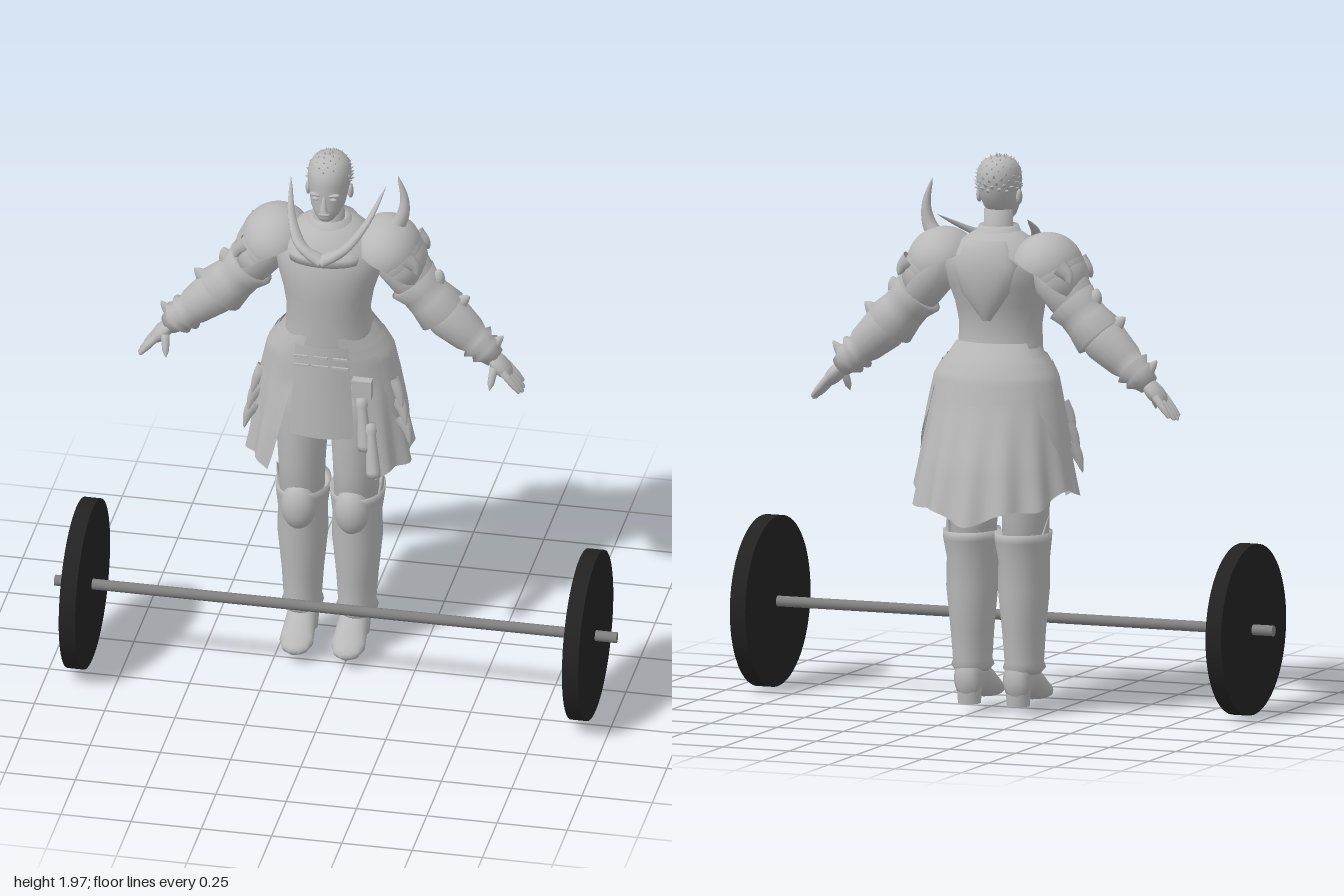
import * as THREE from 'three';

const body = new THREE.MeshStandardMaterial({ color: 0xb8b8b8, side: THREE.DoubleSide });
body.name = 'pale steel';
const rubber = new THREE.MeshStandardMaterial({ color: 0x222222 });
rubber.name = 'black rubber';
const iron = new THREE.MeshStandardMaterial({ color: 0x808080 });
iron.name = 'bar iron';

const V = (p) => new THREE.Vector3(...p);

function mesh(parent, name, geometry, material = body) {
  const m = new THREE.Mesh(geometry, material);
  m.name = name;
  parent.add(m);
  return m;
}

// Surface from a rule fn(u, v) -> [x, y, z]; wrap closes it in u
function grid(nu, nv, fn, wrap = false) {
  const pos = [], idx = [], w = wrap ? nu : nu + 1;
  for (let j = 0; j <= nv; j++) for (let i = 0; i < w; i++) pos.push(...fn(i / nu, j / nv));
  for (let j = 0; j < nv; j++) for (let i = 0; i < nu; i++) {
    const a = j * w + i, b = j * w + (i + 1) % w;
    idx.push(a, b, b + w, a, b + w, a + w);
  }
  const g = new THREE.BufferGeometry();
  g.setAttribute('position', new THREE.Float32BufferAttribute(pos, 3));
  g.setIndex(idx);
  g.computeVertexNormals();
  return g;
}

// Stacked elliptical rings [y, half width, front z, back z], capped at both ends
function loft(rows, cx = 0, sides = 28) {
  const cap = ([y, , f, b]) => [y, 0.0005, (f + b) / 2 + 0.0005, (f + b) / 2 - 0.0005];
  const all = [cap(rows[0]), ...rows, cap(rows[rows.length - 1])];
  return grid(sides, all.length - 1, (u, v) => {
    const [y, rx, f, b] = all[Math.round(v * (all.length - 1))], a = u * Math.PI * 2;
    return [cx + rx * Math.sin(a), y, (f + b) / 2 + (f - b) / 2 * Math.cos(a)];
  }, true);
}

// Turned limb from a to b, profile of [t, radius]
function limb(parent, name, a, b, profile, flat = 1) {
  const d = V(b).sub(V(a)), len = d.length();
  const m = mesh(parent, name, new THREE.LatheGeometry(profile.map(([t, r]) => new THREE.Vector2(r, t * len)), 18));
  m.position.copy(V(a));
  m.quaternion.setFromUnitVectors(new THREE.Vector3(0, 1, 0), d.normalize());
  m.scale.x = flat;
  return m;
}

// Curved spike that tapers along a path
function horn(parent, name, points, r, flat = 1) {
  const c = new THREE.CatmullRomCurve3(points.map(V)), n = 12, fr = c.computeFrenetFrames(n);
  return mesh(parent, name, grid(10, n, (u, v) => {
    const k = Math.round(v * n), a = -u * Math.PI * 2, s = r * Math.pow(1 - v, 0.7) + 0.0005;
    return c.getPoint(v).addScaledVector(fr.normals[k], s * Math.cos(a))
      .addScaledVector(fr.binormals[k], s * flat * Math.sin(a)).toArray();
  }, true));
}

function ball(parent, name, p, s) {
  const m = mesh(parent, name, new THREE.SphereGeometry(1, 20, 14));
  m.position.set(...p);
  m.scale.set(...s);
  return m;
}

// Skirt silhouette [y, half width, front z, back z], read between rows by height
const SKIRT = [[1.3, 0.152, 0.02, -0.25], [1.25, 0.185, 0.02, -0.285], [1.2, 0.213, 0.02, -0.31],
  [1.1, 0.235, 0.02, -0.335], [0.9, 0.27, 0.06, -0.4], [0.68, 0.31, 0.09, -0.45]];
function skirtPoint(a, y, off = 0, pleat = 0) {
  let k = 0;
  while (k < SKIRT.length - 2 && y < SKIRT[k + 1][0]) k++;
  const A = SKIRT[k], B = SKIRT[k + 1], t = (A[0] - y) / (A[0] - B[0]);
  const [rx, f, b] = [1, 2, 3].map((i) => A[i] + (B[i] - A[i]) * t);
  const s = 1 + pleat * Math.max(0, 1.15 - y) * Math.cos(a * 14);
  const z = -0.15, c = Math.cos(a);
  return [(rx + off) * s * Math.sin(a), y, z + (c > 0 ? f - z + off : z - b + off) * s * c];
}
const patch = (a0, a1, top, hem, off, pleat = 0) => grid(60, 16, (u, v) => {
  const a = a0 + (a1 - a0) * u, lo = hem(a, u);
  return skirtPoint(a, lo + (top - lo) * v, off, pleat);
});

function buildSide(g) {
  // Leg, boot and foot
  mesh(g, 'thigh', loft([[0.55, 0.075, -0.04, -0.21], [0.75, 0.082, -0.02, -0.22],
    [0.95, 0.095, -0.01, -0.25], [1.15, 0.09, -0.02, -0.25]], 0.097));
  mesh(g, 'boot', loft([[0.15, 0.055, -0.06, -0.205], [0.17, 0.073, -0.04, -0.222], [0.19, 0.066, -0.05, -0.215],
    [0.3, 0.073, -0.04, -0.23], [0.45, 0.088, -0.03, -0.243], [0.55, 0.086, -0.025, -0.243],
    [0.62, 0.095, -0.018, -0.265], [0.65, 0.097, -0.015, -0.265], [0.63, 0.085, -0.03, -0.25]], 0.097));
  ball(g, 'kneePlate', [0.095, 0.59, -0.05], [0.062, 0.09, 0.055]);
  horn(g, 'bootTopPoint', [[0.17, 0.6, -0.14], [0.183, 0.66, -0.14], [0.19, 0.71, -0.13]], 0.035, 0.3);
  mesh(g, 'foot', loft([[-0.22, 0.03, -0.08, -0.17], [-0.2, 0.048, -0.06, -0.2], [-0.12, 0.052, -0.065, -0.2],
    [-0.05, 0.056, -0.045, -0.155], [0, 0.06, -0.04, -0.11], [0.035, 0.045, -0.04, -0.085],
    [0.05, 0.02, -0.045, -0.07]], 0.092).rotateX(Math.PI / 2));
  mesh(g, 'heel', new THREE.CylinderGeometry(0.045, 0.04, 0.07, 16)).position.set(0.092, 0.075, -0.175);

  // Arm with flared plates
  const z = -0.165;
  limb(g, 'upperArm', [0.19, 1.62, z], [0.35, 1.4, z], [[0, 0], [0, 0.06], [0.3, 0.092], [0.6, 0.085], [1, 0.065], [1, 0]]);
  limb(g, 'elbowGuard', [0.285, 1.475, z], [0.4, 1.35, z],
    [[0, 0.075], [0.02, 0.095], [0.3, 0.08], [0.55, 0.082], [0.95, 0.094], [1, 0.07]]);
  limb(g, 'forearm', [0.35, 1.4, z], [0.58, 1.195, z], [[0, 0], [0, 0.07], [0.3, 0.08], [0.6, 0.066], [0.7, 0.054],
    [0.73, 0.07], [0.8, 0.05], [0.85, 0.064], [0.92, 0.045], [1, 0.038], [1, 0]]);
  horn(g, 'upperElbowSpike', [[0.34, 1.45, z], [0.375, 1.49, z], [0.385, 1.525, z]], 0.035, 1.4);
  horn(g, 'lowerElbowSpike', [[0.42, 1.38, z], [0.455, 1.4, z], [0.49, 1.43, z]], 0.035, 1.4);
  horn(g, 'cuffSpike', [[0.54, 1.22, z], [0.58, 1.25, z], [0.61, 1.285, z]], 0.025, 1.4);

  // Hand
  const palm = ball(g, 'palm', [0.6, 1.17, -0.16], [0.028, 0.058, 0.048]);
  palm.rotation.z = 0.75;
  for (let i = 0; i < 4; i++) {
    const fz = -0.205 + i * 0.027, l = [0.85, 0.97, 1, 0.9][i];
    limb(g, 'finger', [0.615, 1.16, -0.195 + i * 0.023], [0.615 + 0.07 * l, 1.16 - 0.085 * l, fz],
      [[0, 0], [0, 0.014], [0.6, 0.012], [0.95, 0.007], [1, 0]]);
  }
  limb(g, 'thumb', [0.585, 1.175, -0.125], [0.575, 1.1, -0.09], [[0, 0], [0, 0.016], [0.7, 0.012], [1, 0]]);

  // Layered shoulder plates
  for (let i = 0; i < 3; i++) {
    const m = mesh(g, 'shoulderPlate', new THREE.SphereGeometry(1, 28, 14, 0, Math.PI * 2, 0, Math.PI * (0.5 - i * 0.03)));
    m.position.set(0.195 + i * 0.012, 1.585 - i * 0.022, -0.16);
    m.scale.set(0.125 - i * 0.003, 0.125, 0.148 - i * 0.004);
    m.rotation.z = -0.42 - i * 0.13;
  }
  for (const dz of [-0.09, 0, 0.09])
    horn(g, 'shoulderPoint', [[0.28, 1.6, z + dz], [0.31, 1.575, z + dz], [0.325, 1.545, z + dz * 1.1]], 0.03, 1.2);
  horn(g, 'collarWing', [[0.0, 1.61, 0.01], [0.07, 1.65, 0.0], [0.13, 1.7, -0.11], [0.17, 1.77, -0.28]], 0.036, 0.6);

  // Hip plates
  mesh(g, 'hipPlate', patch(1.0, 2.15, 1.25, (a, u) => 1.08 - 0.17 * (1 - Math.abs(2 * u - 1)), 0.012));
  mesh(g, 'hipPlateInner', patch(1.1, 2.0, 1.2, (a, u) => 1.0 - 0.16 * (1 - Math.abs(2 * u - 1)), 0.006));
  for (let i = 0; i < 3; i++)
    horn(g, 'hipSpike', [[0.225 + i * 0.015, 1.1 - i * 0.07, -0.1], [0.25 + i * 0.015, 1.06 - i * 0.07, -0.09],
      [0.268 + i * 0.014, 1.0 - i * 0.07, -0.08]], 0.02, 1.5);

  // Ear, eye and brow
  ball(g, 'ear', [0.075, 1.825, -0.125], [0.01, 0.027, 0.016]);
  ball(g, 'eye', [0.03, 1.83, -0.038], [0.014, 0.006, 0.008]);
  ball(g, 'brow', [0.032, 1.848, -0.037], [0.022, 0.006, 0.01]).rotation.z = 0.15;
}

function buildHead(g) {
  mesh(g, 'neck', loft([[1.64, 0.075, -0.06, -0.21], [1.7, 0.052, -0.08, -0.185], [1.78, 0.05, -0.08, -0.185]]));
  mesh(g, 'gorget', loft([[1.63, 0.12, -0.01, -0.25], [1.69, 0.085, -0.05, -0.22], [1.725, 0.068, -0.06, -0.2],
    [1.71, 0.055, -0.075, -0.19]]));
  mesh(g, 'head', loft([[1.74, 0.026, -0.04, -0.1], [1.755, 0.042, -0.03, -0.14], [1.79, 0.06, -0.026, -0.18],
    [1.83, 0.069, -0.03, -0.208], [1.88, 0.076, -0.026, -0.22], [1.92, 0.073, -0.036, -0.217],
    [1.948, 0.056, -0.06, -0.192], [1.962, 0.03, -0.09, -0.16]]));
  horn(g, 'nose', [[0, 1.79, -0.022], [0, 1.815, -0.025], [0, 1.85, -0.034]], 0.015, 1);
  ball(g, 'lips', [0, 1.772, -0.031], [0.02, 0.007, 0.008]);
  // Short hair tufts spread in a spiral over the scalp
  const tuft = new THREE.ConeGeometry(0.011, 0.026, 5);
  for (let i = 0; i < 110; i++) {
    const ny = 1 - i / 85, r = Math.sqrt(Math.max(0, 1 - ny * ny)), a = i * 2.39996;
    const n = new THREE.Vector3(r * Math.sin(a), ny, r * Math.cos(a));
    if (n.z > 0.25 && n.y < 0.55) continue;
    const m = mesh(g, 'hairTuft', tuft);
    m.position.set(n.x * 0.075, 1.875 + n.y * 0.088, -0.125 + n.z * 0.097);
    m.quaternion.setFromUnitVectors(new THREE.Vector3(0, 1, 0), n.add(new THREE.Vector3(0, 0.3, 0.2)).normalize());
  }
}

function buildTorso(g) {
  mesh(g, 'breastplate', loft([[1.1, 0.17, 0, -0.27], [1.22, 0.168, 0.01, -0.26], [1.3, 0.15, 0.015, -0.24],
    [1.38, 0.148, 0.018, -0.24], [1.45, 0.16, 0.026, -0.255], [1.52, 0.182, 0.027, -0.28], [1.58, 0.195, 0.018, -0.29],
    [1.63, 0.18, 0, -0.285], [1.68, 0.12, -0.03, -0.25], [1.71, 0.07, -0.07, -0.2]], 0, 40));
  mesh(g, 'chestTrim', loft([[1.59, 0.125, 0.026, -0.1], [1.615, 0.125, 0.022, -0.1], [1.63, 0.1, 0.01, -0.1]]));
  mesh(g, 'backPlate', loft([[1.4, 0.02, -0.2, -0.255], [1.5, 0.09, -0.2, -0.295], [1.6, 0.12, -0.2, -0.305],
    [1.68, 0.07, -0.18, -0.275]]));
  // Skirt open at the front, with shorter overlays
  mesh(g, 'skirt', grid(120, 20, (u, v) => {
    const y0 = 0.0 + 1 - v, a0 = 0.35 + 0.38 * y0, a = a0 + (Math.PI * 2 - 2 * a0) * u;
    const hem = 0.8 - 0.085 * Math.cos(a) ** 2 + 0.015 * Math.cos(a * 7);
    return skirtPoint(a, hem + (1.3 - hem) * v, 0, 0.09);
  }));
  mesh(g, 'backPeplum', patch(2.05, Math.PI * 2 - 2.05, 1.32, (a, u) => 1.17 - 0.06 * Math.sin(u * Math.PI), 0.01));
  mesh(g, 'belt', patch(0, Math.PI * 2, 1.27, () => 1.215, 0.008));
  mesh(g, 'frontApron', grid(16, 8, (u, v) => [(u - 0.5) * (0.23 - 0.04 * v), 0.91 + 0.36 * v,
    0.032 - 0.1 * (u - 0.5) ** 2]));
  for (const [y, w] of [[1.2, 0.06], [1.235, 0.05]]) for (const x of [-0.07, 0, 0.07])
    mesh(g, 'beltClasp', new THREE.BoxGeometry(w, 0.008, 0.008)).position.set(x, y, 0.034);
  // Scabbards and horn worn on one side only
  const tube = [[0, 0], [0, 0.018], [0.15, 0.022], [0.2, 0.017], [0.9, 0.026], [1, 0.024], [1, 0]];
  limb(g, 'scabbard', [0.145, 1.09, 0.03], [0.165, 0.9, 0.06], tube);
  limb(g, 'scabbard', [0.18, 1.0, 0.045], [0.2, 0.81, 0.085], tube);
  mesh(g, 'hipPouch', new THREE.BoxGeometry(0.07, 0.07, 0.035)).position.set(0.145, 1.12, 0.015);
  horn(g, 'shoulderHorn', [[0.215, 1.66, -0.16], [0.25, 1.72, -0.16], [0.258, 1.79, -0.165], [0.235, 1.88, -0.165]], 0.032);
}

function buildBarbell(g) {
  const bar = mesh(g, 'bar', new THREE.CylinderGeometry(0.019, 0.019, 2, 12), iron);
  bar.rotation.z = Math.PI / 2;
  for (const s of [-1, 1]) {
    const plate = mesh(g, 'weightPlate', new THREE.CylinderGeometry(0.3, 0.3, 0.058, 64), rubber);
    plate.rotation.z = Math.PI / 2;
    plate.position.x = s * 0.895;
  }
  g.position.set(0, 0.305, 0.15);
}

export function createModel() {
  const model = new THREE.Group();
  const part = (parent, name, build) => {
    const g = new THREE.Group();
    g.name = name;
    build(g);
    parent.add(g);
    return g;
  };
  const figure = part(model, 'armouredFigure', () => {});
  part(figure, 'headGroup', buildHead);
  part(figure, 'torsoGroup', buildTorso);
  const left = part(figure, 'leftSide', buildSide), right = left.clone();
  right.name = 'rightSide';
  right.scale.x = -1;
  figure.add(right);
  figure.position.x = -0.08;
  part(model, 'barbell', buildBarbell);
  return model;
}
